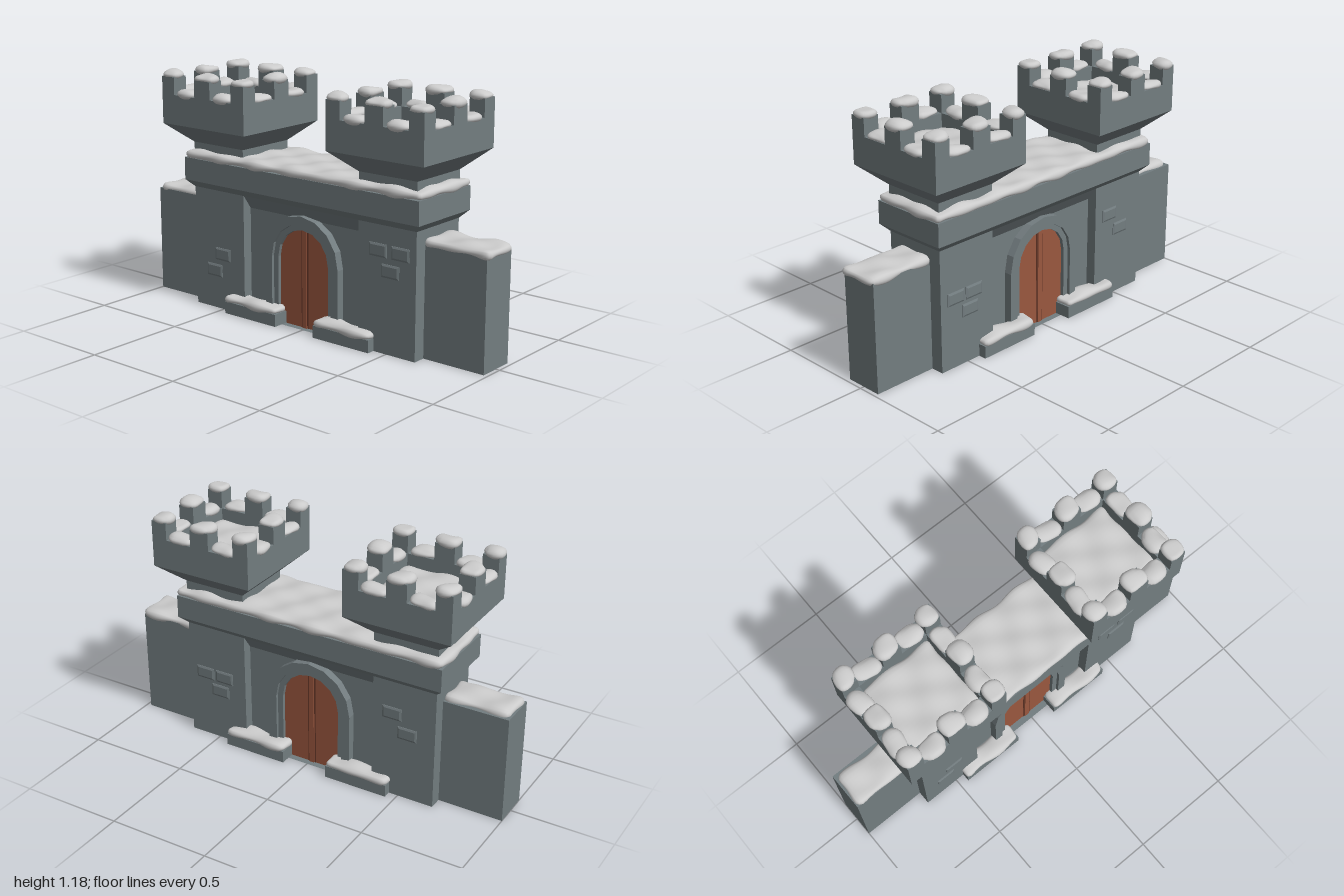
import * as THREE from 'three';
import { mergeVertices } from 'three/addons/utils/BufferGeometryUtils.js';

const stone = new THREE.MeshStandardMaterial({ color: 0x737d80 });
const snowMat = new THREE.MeshStandardMaterial({ color: 0xcccccc });
const wood = new THREE.MeshStandardMaterial({ color: 0x9a573f });
const darkWood = new THREE.MeshStandardMaterial({ color: 0x6b3a2a });

function add(parent, name, geometry, material, x = 0, y = 0, z = 0) {
  const mesh = new THREE.Mesh(geometry, material);
  mesh.name = name;
  mesh.position.set(x, y, z);
  parent.add(mesh);
  return mesh;
}

// Box given by its extents
function block(parent, name, x0, x1, y0, y1, z0, z1, material = stone) {
  return add(parent, name, new THREE.BoxGeometry(x1 - x0, y1 - y0, z1 - z0), material,
    (x0 + x1) / 2, (y0 + y1) / 2, (z0 + z1) / 2);
}

// Box whose bottom rectangle differs from its top one
function flare(parent, name, x, y0, y1, bottomW, bottomD, topW, topD) {
  const g = new THREE.BoxGeometry(1, y1 - y0, 1);
  const p = g.attributes.position;
  for (let i = 0; i < p.count; i++) {
    const top = p.getY(i) > 0;
    p.setX(i, p.getX(i) * (top ? topW : bottomW));
    p.setZ(i, p.getZ(i) * (top ? topD : bottomD));
  }
  g.computeVertexNormals();
  return add(parent, name, g, stone, x, (y0 + y1) / 2, 0);
}

// Soft pillow of snow: a subdivided box, rounded and gently rippled
function snow(parent, name, x0, x1, y0, y1, z0, z1, round = 0.03) {
  const size = [x1 - x0, y1 - y0, z1 - z0];
  const mid = [(x0 + x1) / 2, (y0 + y1) / 2, (z0 + z1) / 2];
  const seg = size.map((s) => Math.max(6, Math.ceil(s / 0.02)));
  let g = new THREE.BoxGeometry(...size, ...seg);
  g.deleteAttribute('uv');
  g.deleteAttribute('normal');
  g = mergeVertices(g);
  const p = g.attributes.position;
  const r = size.map((s) => Math.min(s / 2, round));
  for (let i = 0; i < p.count; i++) {
    const c = [p.getX(i), p.getY(i), p.getZ(i)];
    const inner = c.map((v, k) => THREE.MathUtils.clamp(v, r[k] - size[k] / 2, size[k] / 2 - r[k]));
    const d = c.map((v, k) => (v - inner[k]) / r[k]);
    const len = Math.hypot(...d) || 1;
    const [wx, wz] = [c[0] + mid[0], c[2] + mid[2]];
    const ripple = 0.004 * (Math.sin(wx * 31 + wz * 17) + Math.sin(wz * 37 - wx * 23 + 1));
    const q = inner.map((v, k) => v + (d[k] / len) * (r[k] + ripple));
    p.setXYZ(i, ...q);
  }
  g.computeVertexNormals();
  return add(parent, name, g, snowMat, ...mid);
}

// Outline of an arched doorway standing on y = 0
function archPath(Type, r, spring = 0.33, sides = 8) {
  const pts = [new THREE.Vector2(-r, 0), new THREE.Vector2(r, 0)];
  for (let i = 0; i <= sides; i++) {
    const a = (Math.PI * i) / sides;
    pts.push(new THREE.Vector2(r * Math.cos(a), spring + r * Math.sin(a)));
  }
  return new Type(pts);
}

function archRing(parent, name, outer, inner, depth) {
  const shape = archPath(THREE.Shape, outer);
  if (inner) shape.holes.push(archPath(THREE.Path, inner));
  const g = new THREE.ExtrudeGeometry(shape, { depth, bevelEnabled: false });
  g.translate(0, 0, -depth / 2);
  return add(parent, name, g, inner ? stone : wood, -0.01);
}

function buildTower(x) {
  const tower = new THREE.Group();
  tower.name = 'tower';
  tower.position.x = x;
  block(tower, 'towerShaft', -0.16, 0.16, 0, 0.82, -0.16, 0.16);
  flare(tower, 'turretFlare', 0, 0.82, 0.915, 0.32, 0.32, 0.53, 0.53);

  // Hollow parapet
  const R = 0.265, I = 0.185;
  const square = (Type, s) => new Type([[-s, -s], [s, -s], [s, s], [-s, s]].map((c) => new THREE.Vector2(...c)));
  const ring = square(THREE.Shape, R);
  ring.holes.push(square(THREE.Path, I));
  const g = new THREE.ExtrudeGeometry(ring, { depth: 0.145, bevelEnabled: false });
  g.rotateX(-Math.PI / 2);
  add(tower, 'parapet', g, stone, 0, 0.915);
  block(tower, 'turretFloor', -I, I, 0.915, 0.97, -I, I);
  snow(tower, 'floorSnow', -0.19, 0.19, 0.95, 1.01, -0.19, 0.19);

  // Merlons at corners and mid-sides, each with a snow cap
  const spans = [[-R, -I], [-0.05, 0.05], [I, R]];
  spans.forEach(([x0, x1], i) => spans.forEach(([z0, z1], j) => {
    if (i === 1 && j === 1) return;
    block(tower, 'merlon', x0, x1, 1.06, 1.145, z0, z1);
    snow(tower, 'merlonSnow', x0 - 0.01, x1 + 0.01, 1.128, 1.174, z0 - 0.01, z1 + 0.01, 0.045);
  }));

  // Snow lying in the gaps between merlons
  for (const s of [-1, 1]) {
    for (const t of [-1, 1]) {
      const [a0, a1] = s > 0 ? [0.05, 0.185] : [-0.185, -0.05];
      const [b0, b1] = t > 0 ? [0.178, 0.274] : [-0.274, -0.178];
      snow(tower, 'gapSnow', a0, a1, 1.045, 1.09, b0, b1, 0.05);
      snow(tower, 'gapSnow', b0, b1, 1.045, 1.09, a0, a1, 0.05);
    }
  }
  return tower;
}

export function createModel() {
  const gate = new THREE.Group();
  gate.name = 'gatehouse';

  // Towers and side walls
  gate.add(buildTower(-0.52), buildTower(0.5));
  block(gate, 'rightWall', -1, -0.68, 0, 0.53, -0.095, 0.095);
  block(gate, 'leftWall', 0.66, 0.98, 0, 0.53, -0.095, 0.095);
  snow(gate, 'rightWallSnow', -0.99, -0.67, 0.51, 0.555, -0.08, 0.095);
  snow(gate, 'leftWallSnow', 0.65, 0.995, 0.51, 0.555, -0.1, 0.1);

  // Recessed middle wall and the beam over it
  block(gate, 'middleWall', -0.36, 0.34, 0, 0.54, -0.11, 0.11);
  flare(gate, 'middleFlare', -0.01, 0.53, 0.6, 0.7, 0.22, 0.7, 0.32);
  flare(gate, 'beamUnderside', -0.01, 0.597, 0.633, 1.34, 0.32, 1.41, 0.39);
  block(gate, 'beam', -0.715, 0.695, 0.633, 0.745, -0.195, 0.195);
  snow(gate, 'beamSnow', -0.717, 0.702, 0.738, 0.785, -0.2, 0.2);

  // Arch and door, the same on front and back
  archRing(gate, 'outerArch', 0.222, 0.18, 0.3);
  archRing(gate, 'innerArch', 0.181, 0.152, 0.27);
  archRing(gate, 'door', 0.154, 0, 0.235);
  for (const s of [-1, 1]) {
    const strip = (name, x, w, h, z, m) =>
      add(gate, name, new THREE.BoxGeometry(w, h, 0.01), m, x, h / 2, s * z);
    strip('doorCentreBatten', -0.01, 0.026, 0.479, 0.119, wood);
    for (const x of [-0.027, 0.007]) strip('doorGroove', x, 0.008, 0.478, 0.114, darkWood);
  }

  // Low plinths beside the door, snow on both faces
  for (const [x0, x1] of [[-0.455, -0.13], [0.105, 0.43]]) {
    block(gate, 'plinth', x0, x1, 0, 0.06, -0.2, 0.2);
    for (const s of [-1, 1]) {
      const [z0, z1] = s > 0 ? [0.11, 0.207] : [-0.207, -0.11];
      snow(gate, 'plinthSnow', x0 - 0.003, x1 + 0.003, 0.05, 0.093, z0, z1);
    }
  }

  // Raised bricks: centre x, centre y, face
  const bricks = [
    [0.452, 0.48, 1], [0.575, 0.48, 1], [0.52, 0.39, 1], [-0.5, 0.28, 1], [-0.555, 0.193, 1],
    [0.57, 0.345, -1], [0.46, 0.345, -1], [0.485, 0.265, -1], [-0.46, 0.435, -1], [-0.54, 0.345, -1],
  ];
  const w = 0.04, h = 0.022;
  const face = new THREE.Shape([[-w, -h], [w, -h], [w, h], [-w, h]].map((c) => new THREE.Vector2(...c)));
  const brickGeo = new THREE.ExtrudeGeometry(face,
    { depth: 0.004, bevelSize: 0.009, bevelThickness: 0.004, bevelSegments: 1 });
  for (const [x, y, s] of bricks) {
    const brick = add(gate, 'raisedBrick', brickGeo, stone, x, y, s * 0.159);
    if (s < 0) brick.rotation.y = Math.PI;
  }
  return gate;
}
